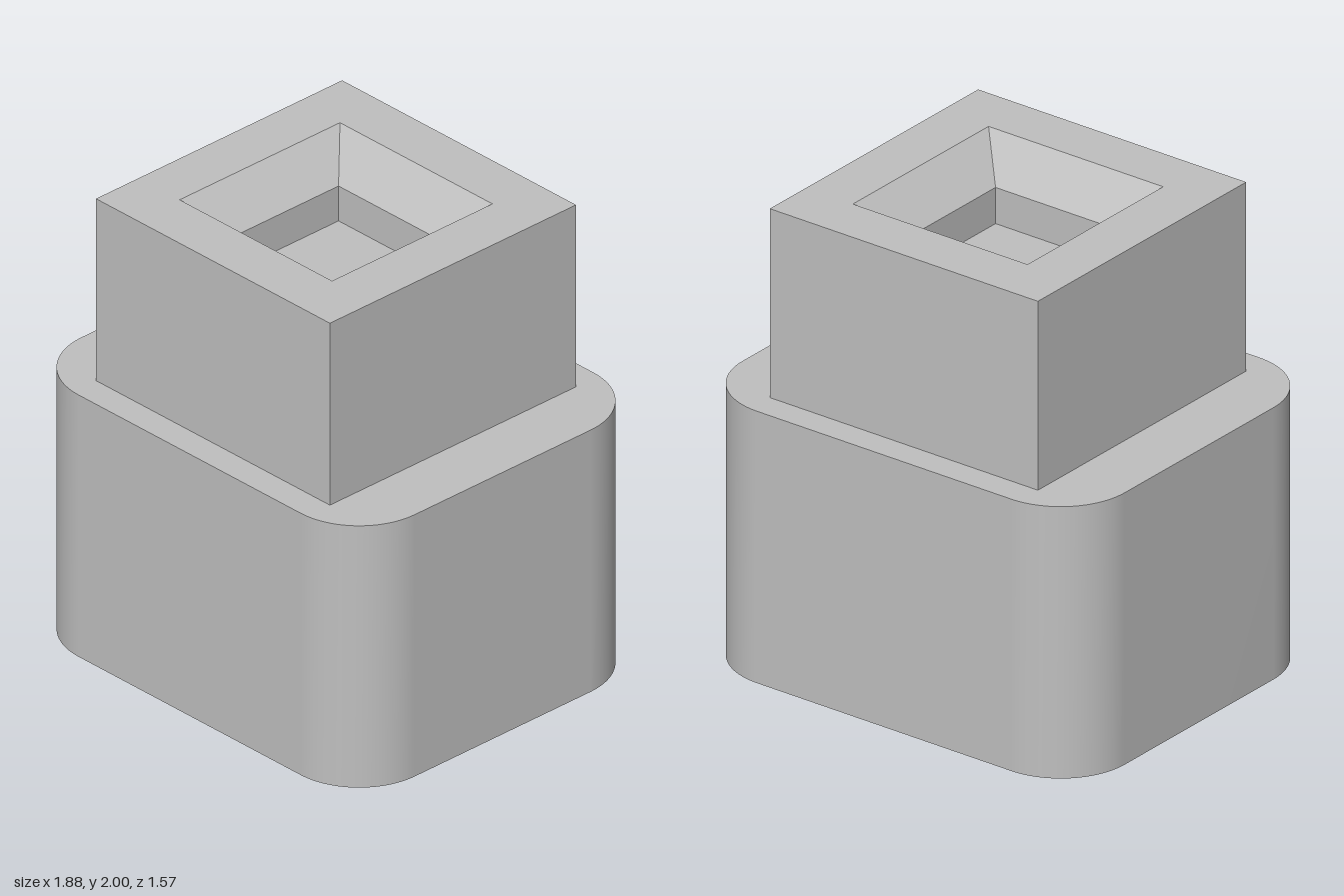
import * as THREE from 'three';

const RECESS = 0.157; // depth of each recess step
const BODY_TOP = 1.18;
const TOP = 2;

// Counter-clockwise rectangle outline, with optional rounded corners
function rectOutline(width, depth, radius = 0, cy = 0, segments = 24) {
  const points = [];
  const corners = [[1, 1], [-1, 1], [-1, -1], [1, -1]];
  corners.forEach(([sx, sy], quarter) => {
    const cx = sx * (width / 2 - radius);
    const y0 = cy + sy * (depth / 2 - radius);
    const steps = radius > 0 ? segments : 0;
    for (let i = 0; i <= steps; i++) {
      const a = (quarter + (steps ? i / steps : 0)) * Math.PI / 2;
      points.push(new THREE.Vector2(cx + radius * Math.cos(a), y0 + radius * Math.sin(a)));
    }
  });
  return points;
}

// Wall joining two outlines; faces outward going up, inward going down
function wallGeometry(from, y0, to, y1, smooth) {
  const n = from.length;
  const positions = [];
  const index = [];
  from.forEach((p) => positions.push(p.x, y0, -p.y));
  to.forEach((p) => positions.push(p.x, y1, -p.y));
  for (let i = 0; i < n; i++) {
    const j = (i + 1) % n;
    index.push(i, j, n + j, i, n + j, n + i);
  }
  let geometry = new THREE.BufferGeometry();
  geometry.setAttribute('position', new THREE.Float32BufferAttribute(positions, 3));
  geometry.setIndex(index);
  if (!smooth) geometry = geometry.toNonIndexed();
  geometry.computeVertexNormals();
  return geometry;
}

// Horizontal face with holes, looking up or down
function faceGeometry(outline, holes, y, up) {
  const flip = (pts) => pts.map((p) => new THREE.Vector2(p.x, up ? p.y : -p.y));
  const shape = new THREE.Shape(flip(outline));
  shape.holes = holes.map((h) => new THREE.Path(flip(h)));
  const geometry = new THREE.ShapeGeometry(shape);
  geometry.rotateX(up ? -Math.PI / 2 : Math.PI / 2);
  geometry.translate(0, y, 0);
  return geometry;
}

export function createModel() {
  const model = new THREE.Group();
  const grey = new THREE.MeshStandardMaterial({ color: 0xbfbfbf });
  grey.name = 'plain grey';

  function part(name, geometries) {
    const group = new THREE.Group();
    group.name = name;
    geometries.forEach((geometry) => {
      const mesh = new THREE.Mesh(geometry, grey);
      mesh.name = name + 'Surface';
      group.add(mesh);
    });
    model.add(group);
  }

  const body = rectOutline(1.88, 1.57, 0.314);
  const block = rectOutline(1.32, 1.32);
  const mouth = rectOutline(0.86, 0.86);
  const well = rectOutline(0.55, 0.55);
  const slots = [-1, 1].map((s) => rectOutline(1.26, 0.305, 0, s * 0.345));

  // Rounded body with two slots cut in its underside
  part('body', [
    wallGeometry(body, 0, body, BODY_TOP, true),
    faceGeometry(body, [block], BODY_TOP, true),
    faceGeometry(body, slots, 0, false),
  ]);
  slots.forEach((slot, i) => part(i ? 'backSlot' : 'frontSlot', [
    wallGeometry(slot, RECESS, slot, 0),
    faceGeometry(slot, [], RECESS, false),
  ]));

  // Square upper block
  part('upperBlock', [
    wallGeometry(block, BODY_TOP, block, TOP),
    faceGeometry(block, [mouth], TOP, true),
  ]);

  // Sloped mouth leading into a straight square well
  part('slopedMouth', [wallGeometry(mouth, TOP, well, TOP - RECESS)]);
  part('squareWell', [
    wallGeometry(well, TOP - RECESS, well, TOP - 2 * RECESS),
    faceGeometry(well, [], TOP - 2 * RECESS, true),
  ]);

  return model;
}
